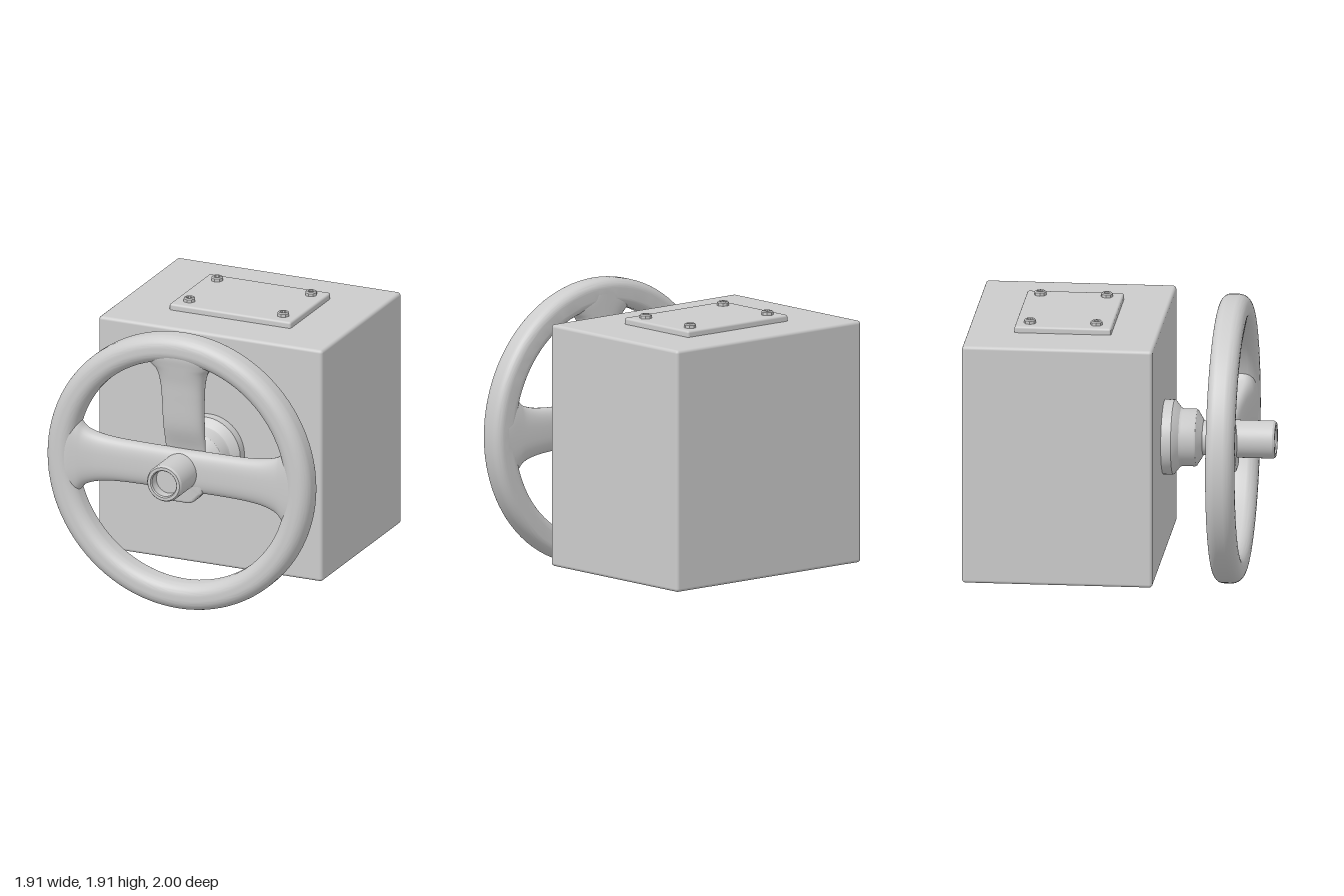
import * as THREE from 'three';
import { toCreasedNormals } from 'three/addons/utils/BufferGeometryUtils.js';
import { RoundedBoxGeometry } from 'three/addons/geometries/RoundedBoxGeometry.js';

const material = new THREE.MeshStandardMaterial({ color: 0xcccccc });
const AXIS_Y = 0.96; // height of the wheel axis

function add(parent, name, geometry, x = 0, y = 0, z = 0) {
  const mesh = new THREE.Mesh(geometry, material);
  mesh.name = name;
  mesh.position.set(x, y, z);
  parent.add(mesh);
  return mesh;
}

function roundedBox(w, h, d, r) {
  return new RoundedBoxGeometry(w, h, d, 3, r);
}

// Profile of [radius, height] turned about y, with sharp edges kept
function turned(profile, segments = 64, crease = 0.5) {
  const points = profile.map(([r, h]) => new THREE.Vector2(r, h));
  return toCreasedNormals(new THREE.LatheGeometry(points, segments), crease);
}

// The same, turned about z
const turnedZ = (profile, segments, crease) => turned(profile, segments, crease).rotateX(Math.PI / 2);

// Rim section: a rounded rectangle swept round the axis
function rimGeometry() {
  const shape = new THREE.Shape();
  const [r0, r1, z0, z1, back, front] = [0.77, 0.955, 0.62, 0.81, 0.06, 0.08];
  shape.moveTo(r1 - back, z0);
  shape.absarc(r1 - back, z0 + back, back, -Math.PI / 2, 0);
  shape.absarc(r1 - front, z1 - front, front, 0, Math.PI / 2);
  shape.absarc(r0 + front, z1 - front, front, Math.PI / 2, Math.PI);
  shape.absarc(r0 + back, z0 + back, back, Math.PI, Math.PI * 1.5);
  shape.closePath();
  const profile = shape.getPoints(8).map((p) => [p.x, p.y]);
  return turnedZ(profile, 96, 0.6);
}

// Spoke along +x, lofted through stations of [distance, half width, front z]
function spokeGeometry(stations, backZ = 0.618) {
  const curve = new THREE.CatmullRomCurve3(stations.map((s) => new THREE.Vector3(...s)), false, 'centripetal');
  const steps = 40, sides = 40, positions = [], index = [];
  const soften = (v) => Math.sign(v) * Math.abs(v) ** 0.75;
  for (let i = 0; i <= steps; i++) {
    const s = curve.getPoint(i / steps);
    for (let j = 0; j < sides; j++) {
      const a = (j / sides) * Math.PI * 2;
      const mid = (s.z + backZ) / 2, half = (s.z - backZ) / 2;
      positions.push(s.x, s.y * soften(Math.cos(a)), mid + half * soften(Math.sin(a)));
      if (i === steps) continue;
      const k = (j + 1) % sides, p = i * sides, q = p + sides;
      index.push(p + j, p + k, q + k, p + j, q + k, q + j);
    }
  }
  const geometry = new THREE.BufferGeometry();
  geometry.setAttribute('position', new THREE.Float32BufferAttribute(positions, 3));
  geometry.setIndex(index);
  geometry.computeVertexNormals();
  return geometry;
}

// Small boss closing the hub below the side spokes
function bossGeometry() {
  const shape = new THREE.Shape();
  shape.moveTo(-0.17, 0.05);
  shape.lineTo(-0.14, -0.125);
  shape.quadraticCurveTo(-0.12, -0.14, -0.1, -0.165);
  shape.quadraticCurveTo(-0.075, -0.195, -0.05, -0.195);
  shape.lineTo(0.05, -0.195);
  shape.quadraticCurveTo(0.075, -0.195, 0.1, -0.165);
  shape.quadraticCurveTo(0.12, -0.14, 0.14, -0.125);
  shape.lineTo(0.17, 0.05);
  shape.closePath();
  const geometry = new THREE.ExtrudeGeometry(shape, {
    depth: 0.08, bevelSize: 0.02, bevelThickness: 0.025, bevelSegments: 4, curveSegments: 6,
  });
  return toCreasedNormals(geometry.translate(0, 0, 0.64), 0.6);
}

function createWheel() {
  const wheel = new THREE.Group();
  wheel.name = 'handwheel';
  wheel.position.y = AXIS_Y;
  add(wheel, 'rim', rimGeometry());

  // Two level spokes and one upright spoke that slopes back towards the hub
  const level = spokeGeometry([
    [0, 0.143, 0.755], [0.3, 0.143, 0.75], [0.5, 0.15, 0.755], [0.62, 0.168, 0.765],
    [0.7, 0.2, 0.78], [0.745, 0.25, 0.79], [0.8, 0.29, 0.8], [0.86, 0.2, 0.8],
  ]);
  const upright = spokeGeometry([
    [0.02, 0.14, 0.65], [0.14, 0.142, 0.675], [0.3, 0.145, 0.73], [0.5, 0.148, 0.755], [0.62, 0.158, 0.768],
    [0.7, 0.182, 0.782], [0.745, 0.23, 0.79], [0.8, 0.28, 0.8], [0.86, 0.2, 0.8],
  ]);
  add(wheel, 'leftSpoke', level);
  add(wheel, 'rightSpoke', level).rotation.z = Math.PI;
  add(wheel, 'topSpoke', upright).rotation.z = Math.PI / 2;
  add(wheel, 'hubBoss', bossGeometry());

  // Hollow hub sleeve with a shallow bore
  add(wheel, 'hubSleeve', turnedZ([
    [0, 0.62], [0.125, 0.62], [0.125, 0.985], [0.115, 1], [0.095, 1], [0.088, 0.99], [0.088, 0.92], [0, 0.92],
  ]));
  return wheel;
}

export function createModel() {
  const model = new THREE.Group();
  model.name = 'handwheelGearbox';

  add(model, 'housing', roundedBox(1.62, 1.62, 1.26, 0.022), 0, 0.96, -0.37);

  // Cover plate with four socket screws
  add(model, 'coverPlate', roundedBox(0.88, 0.08, 0.64, 0.015), 0, 1.772, -0.37);
  const screw = turned([
    [0.04, 0], [0.04, 0.022], [0.032, 0.03], [0.02, 0.03], [0.018, 0.008], [0, 0.008],
  ], 8, 0.2);
  for (const x of [-0.34, 0.34]) {
    for (const z of [-0.595, -0.155]) add(model, 'coverScrew', screw, x, 1.81, z);
  }

  // Stepped collar and shaft between housing and wheel
  add(model, 'shaftCollar', turnedZ([
    [0.248, 0.25], [0.248, 0.325], [0.24, 0.335], [0.196, 0.37], [0.19, 0.385],
    [0.19, 0.47], [0.185, 0.48], [0.12, 0.52], [0.115, 0.52], [0.115, 0.66],
  ]), 0, AXIS_Y, 0);

  model.add(createWheel());
  return model;
}
